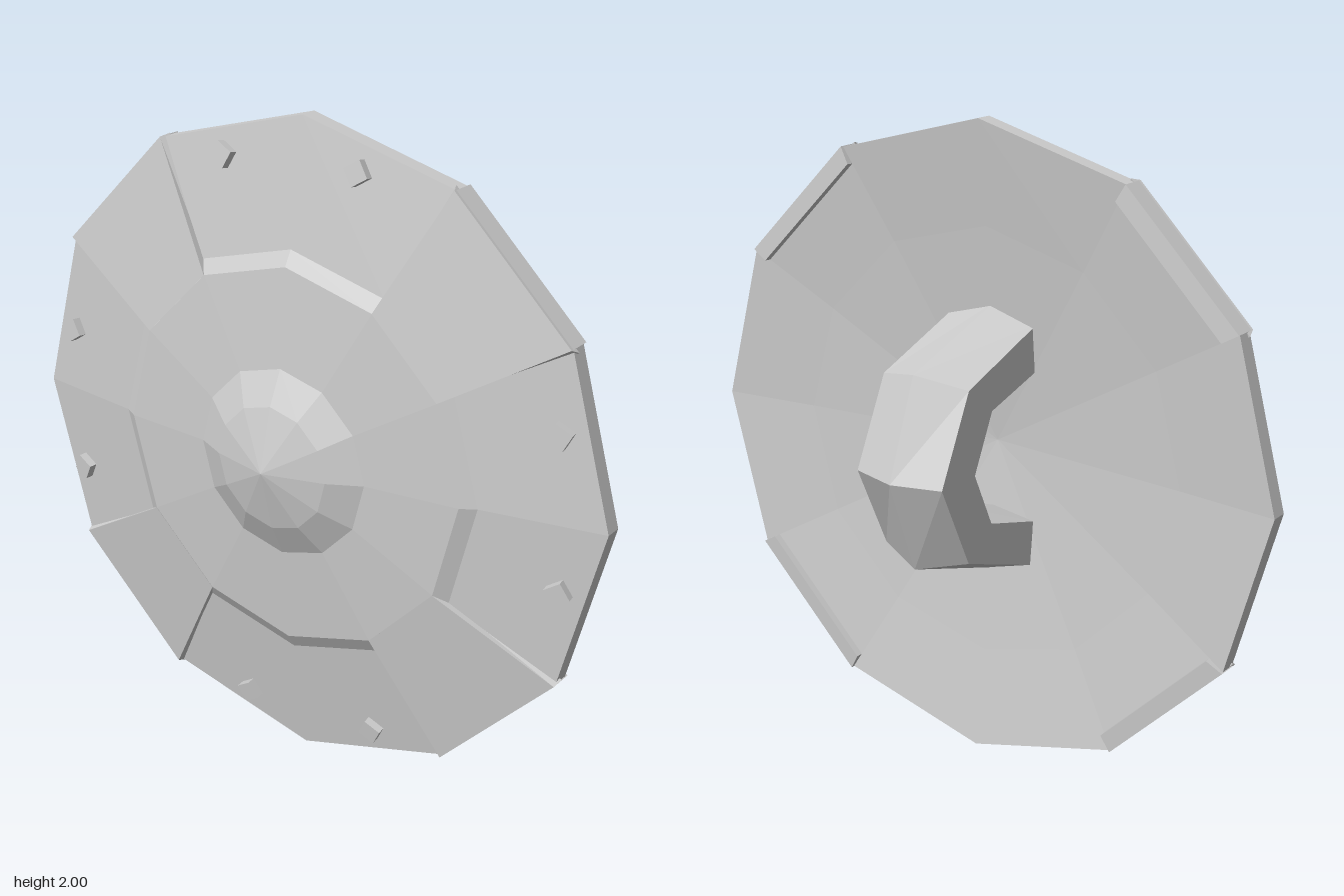
import * as THREE from 'three';

const material = new THREE.MeshStandardMaterial({ color: 0xcccccc, flatShading: true });

// Closed solid through rings of points, each ring counter-clockwise about the direction of travel
function loft(rings) {
  const n = rings[0].length, pos = [];
  const tri = (...pts) => pts.forEach((p) => pos.push(...p));
  for (let i = 0; i < rings.length - 1; i++) {
    for (let j = 0; j < n; j++) {
      const k = (j + 1) % n, a = rings[i], b = rings[i + 1];
      tri(a[j], a[k], b[k]);
      tri(a[j], b[k], b[j]);
    }
  }
  const first = rings[0], last = rings[rings.length - 1];
  for (let j = 1; j < n - 1; j++) {
    tri(first[0], first[j + 1], first[j]);
    tri(last[0], last[j], last[j + 1]);
  }
  const geo = new THREE.BufferGeometry();
  geo.setAttribute('position', new THREE.Float32BufferAttribute(pos, 3));
  geo.computeVertexNormals();
  return geo;
}

// One 30 degree segment; section points are [radius, z, sideways spread]
function segment(section) {
  const ring = (side) => section.map(([r, z, spread = 0]) => {
    const a = side * Math.PI / 12, t = side * spread;
    return [r * Math.cos(a) - t * Math.sin(a), r * Math.sin(a) + t * Math.cos(a), z];
  });
  return loft([ring(-1), ring(1)]);
}

export function createModel() {
  const model = new THREE.Group();
  model.name = 'roundShield';
  const add = (name, geometry, parent) => {
    const mesh = new THREE.Mesh(geometry, material);
    mesh.name = name;
    parent.add(mesh);
    return mesh;
  };
  const shield = new THREE.Group();
  shield.name = 'shield';
  shield.position.y = 1;
  model.add(shield);

  // Twelve-sided dished body: hollow back, rim, sunken panels, step and central boss
  const profile = [
    [0, 0.19], [0.68, 0.12], [1, 0.08], [1, 0.135], [0.63, 0.195],
    [0.585, 0.222], [0.29, 0.25], [0.19, 0.3], [0, 0.35],
  ].map(([r, z]) => new THREE.Vector2(r, z));
  let body = new THREE.LatheGeometry(profile, 12).rotateX(Math.PI / 2).toNonIndexed();
  body.computeVertexNormals();
  add('shieldBody', body, shield);

  // Raised plates on the four diagonals, each with a lip behind the rim
  const plate = segment([[1.003, 0.15], [1.003, 0.12, 0.015], [0.6, 0.19], [0.585, 0.223]]);
  const lip = segment([[1.003, 0.14], [1.003, 0.07], [0.945, 0.065], [0.94, 0.13]]);
  // Square studs in pairs on the sunken panels
  const studGeo = new THREE.BoxGeometry(0.056, 0.056, 0.04);
  for (let i = 0; i < 4; i++) {
    const corner = new THREE.Group();
    corner.name = 'cornerPlate';
    corner.rotation.z = Math.PI / 4 + i * Math.PI / 2;
    add('plate', plate, corner);
    add('backLip', lip, corner);
    shield.add(corner);
    for (const degrees of [-13, 17]) {
      const arm = new THREE.Group();
      arm.name = 'studMount';
      arm.rotation.z = i * Math.PI / 2 + THREE.MathUtils.degToRad(degrees);
      const stud = add('stud', studGeo, arm);
      stud.position.set(0.893, 0, 0.153);
      stud.rotation.set(0, 0.16, Math.PI / 4);
      shield.add(arm);
    }
  }

  // Faceted grip: [z, y] of outer ridge, outer side, inner side, inner ridge
  const upper = [
    [[0.17, 0.43], [0.17, 0.385], [0.17, 0.24], [0.17, 0.22]],
    [[-0.235, 0.3], [-0.175, 0.265], [-0.06, 0.175], [-0.045, 0.155]],
  ];
  const middle = [[-0.35, 0], [-0.305, 0], [-0.145, 0], [-0.115, 0]];
  const lower = upper.map((s) => s.map(([z, y]) => [z, -y])).reverse();
  const w = 0.153;
  const rings = [...upper, middle, ...lower].map(([ridge, outer, inner, innerRidge]) =>
    [[0, ridge], [w, outer], [w, inner], [0, innerRidge], [-w, inner], [-w, outer]]
      .map(([x, [z, y]]) => [x, y, z]));
  add('handle', loft(rings), shield).position.y = 0.012;

  return model;
}
